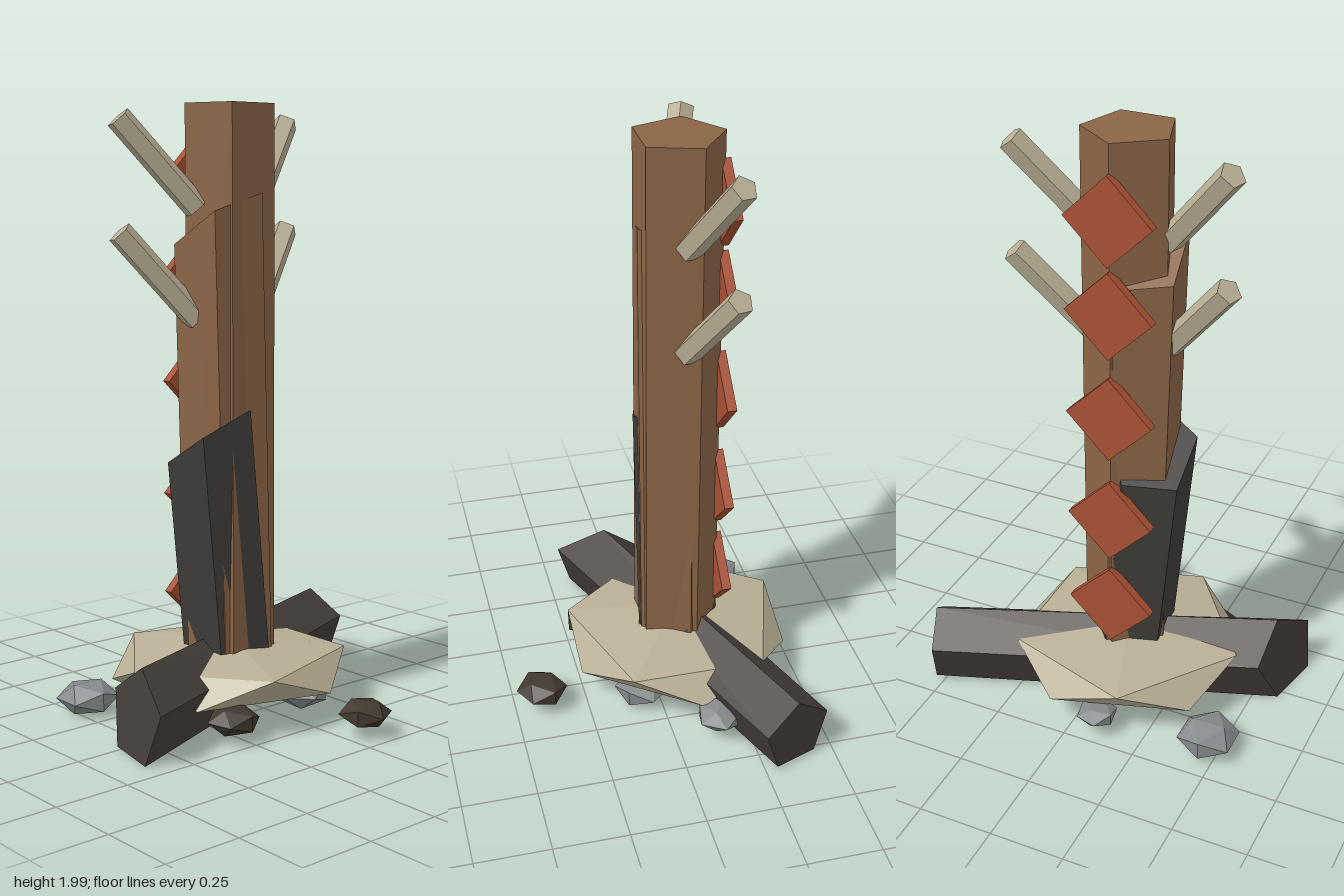
import * as THREE from 'three';
import { ConvexGeometry } from 'three/addons/geometries/ConvexGeometry.js';

const paint = (name, color) => {
  const m = new THREE.MeshStandardMaterial({ color, flatShading: true });
  m.name = name;
  return m;
};

// Apply a rule to every vertex, then recompute flat normals
function reshape(geometry, rule) {
  const g = geometry.toNonIndexed();
  const p = g.attributes.position;
  const v = new THREE.Vector3();
  for (let i = 0; i < p.count; i++) {
    rule(v.fromBufferAttribute(p, i));
    p.setXYZ(i, v.x, v.y, v.z);
  }
  g.computeVertexNormals();
  return g;
}

export function createModel() {
  const model = new THREE.Group();
  const wood = paint('brown wood', 0x8b6546);
  const charred = paint('charred wood', 0x3f3d3a);
  const darkWood = paint('dark log', 0x443d39);
  const bone = paint('pale stone', 0xb9af95);
  const red = paint('rust red', 0xa85034);
  const grey = paint('grey stone', 0x85898b);
  const darkStone = paint('dark stone', 0x42382f);

  const add = (name, geometry, material, x = 0, y = 0, z = 0) => {
    const mesh = new THREE.Mesh(geometry, material);
    mesh.name = name;
    mesh.position.set(x, y, z);
    model.add(mesh);
    return mesh;
  };

  // Five-sided trunks: lean shifts the top in x, slopes cut the top at an angle
  const trunk = (name, material, theta, top, lean, slopeX, slopeZ) => {
    const base = 0.15;
    const g = new THREE.CylinderGeometry(0.15, 0.15, 1, 5, 1, false, theta);
    add(name, reshape(g, v => {
      v.y = v.y > 0 ? top + v.x * slopeX + v.z * slopeZ : base;
      v.x += lean * (v.y - base) / (top - base);
    }), material, -0.06, 0, -0.1);
  };
  trunk('mainPost', wood, Math.PI, 2, 0, 0, 0);
  trunk('splitPost', wood, 0.47, 1.625, -0.04, 0.22, 0.59);
  trunk('charredStump', charred, 0.397, 0.935, -0.077, 0.33, 0.55);

  // Branches, two mirrored pairs
  for (const drop of [0, 0.355]) {
    for (const side of [1, -1]) {
      const a = new THREE.Vector3(-0.07 + side * 0.12, 1.67 - drop, -0.105);
      const b = new THREE.Vector3(-0.07 + side * 0.35, 1.95 - drop, -0.205);
      const d = b.clone().sub(a);
      const branch = add('branch', new THREE.CylinderGeometry(0.043, 0.043, d.length(), 5), bone);
      branch.position.copy(a).add(b).multiplyScalar(0.5);
      branch.quaternion.setFromUnitVectors(new THREE.Vector3(0, 1, 0), d.normalize());
    }
  }

  // Diamond plates up the back
  for (const y of [0.395, 0.73, 1.105, 1.46, 1.765]) {
    const plate = add('backPlate', new THREE.BoxGeometry(0.205, 0.205, 0.032), red, -0.06, y, -0.25);
    plate.rotation.z = Math.PI / 4;
  }

  // Fallen log with one end cut at a slant
  const logShape = new THREE.CylinderGeometry(0.13, 0.145, 1, 5, 1, false, -Math.PI / 2);
  logShape.rotateZ(-Math.PI / 2);
  const log = add('fallenLog', reshape(logShape, v => {
    v.x = v.x > 0 ? 0.647 : -0.56 - 0.63 * v.z + 0.25 * v.y;
  }), darkWood, -0.051, 0.125, -0.136);
  log.rotation.y = 0.357;

  // Base slab: two staggered five-point rings between a top and bottom point
  const points = [new THREE.Vector3(0, 0.1, 0), new THREE.Vector3(0, -0.1, 0)];
  for (let i = 0; i < 10; i++) {
    const t = i * Math.PI / 5;
    points.push(new THREE.Vector3(0.395 * Math.cos(t), i % 2 ? 0.045 : -0.045, 0.385 * Math.sin(t)));
  }
  add('baseSlab', new ConvexGeometry(points), bone, -0.06, 0.155, -0.107);

  // Pebbles: x, y, z, radius, material
  [
    [-0.46, 0.06, -0.36, 0.105, grey],
    [-0.09, 0.075, -0.43, 0.07, grey],
    [0.355, 0.085, -0.155, 0.085, grey],
    [0.12, 0.055, 0.06, 0.095, grey],
    [0.075, 0.08, 0.405, 0.088, darkStone],
    [-0.275, 0.075, 0.17, 0.088, darkStone],
  ].forEach(([x, y, z, r, material], i) => {
    const pebble = add('pebble', new THREE.IcosahedronGeometry(r, 0), material, x, y, z);
    pebble.scale.y = 0.55;
    pebble.rotation.y = i * 1.3;
  });

  return model;
}
